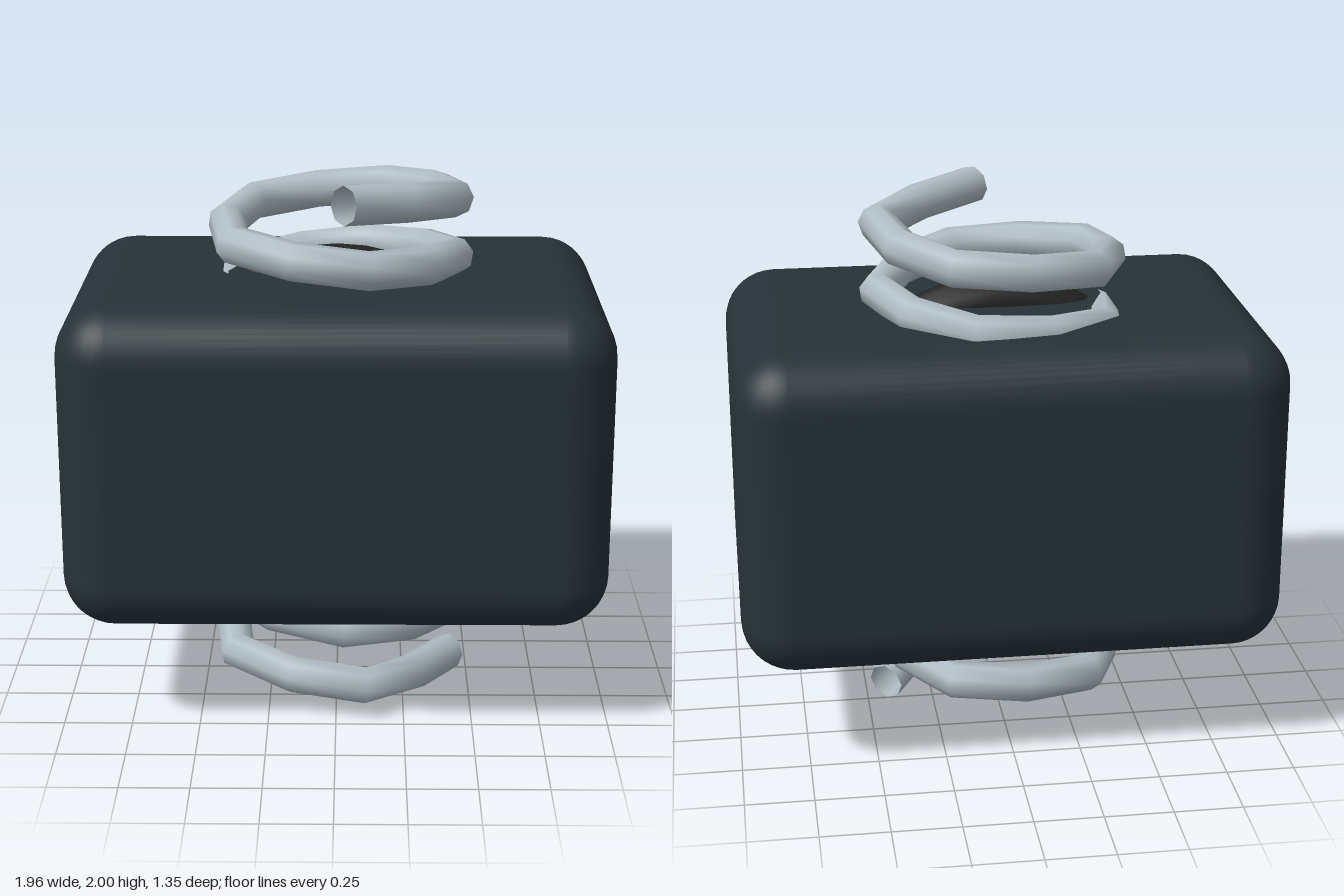
import * as THREE from 'three';
import { RoundedBoxGeometry } from 'three/addons/geometries/RoundedBoxGeometry.js';

const CENTER_Y = 1.005;

function addPart(group, name, geometry, color, side = THREE.FrontSide) {
  const mesh = new THREE.Mesh(geometry, new THREE.MeshStandardMaterial({ color, side }));
  mesh.name = name;
  group.add(mesh);
  return mesh;
}

// Coarsely sampled helix climbing from bottom to top
function coilCurve(radius, bottom, top, turns, spans) {
  const points = [];
  for (let i = 0; i <= spans; i++) {
    const t = i / spans;
    const a = t * turns * Math.PI * 2;
    points.push(new THREE.Vector3(radius * Math.cos(a), bottom + (top - bottom) * t, radius * Math.sin(a)));
  }
  return new THREE.CatmullRomCurve3(points);
}

export function createModel() {
  const model = new THREE.Group();
  model.name = 'coilBlock';

  // Rounded block
  const body = addPart(model, 'body', new RoundedBoxGeometry(1.96, 1.19, 1.35, 5, 0.19), 0x263238);
  body.position.y = CENTER_Y;

  // Upright ring, mostly inside the block, showing above and below
  const ring = addPart(model, 'ring', new THREE.TorusGeometry(0.6, 0.09, 12, 40), 0x212121);
  ring.position.y = CENTER_Y;

  // Open-ended spring running through the block
  const curve = coilCurve(0.43, 0.07, 1.93, 8.24, 40);
  addPart(model, 'spring', new THREE.TubeGeometry(curve, 80, 0.07, 8, false), 0xb0bec5, THREE.DoubleSide);

  return model;
}
